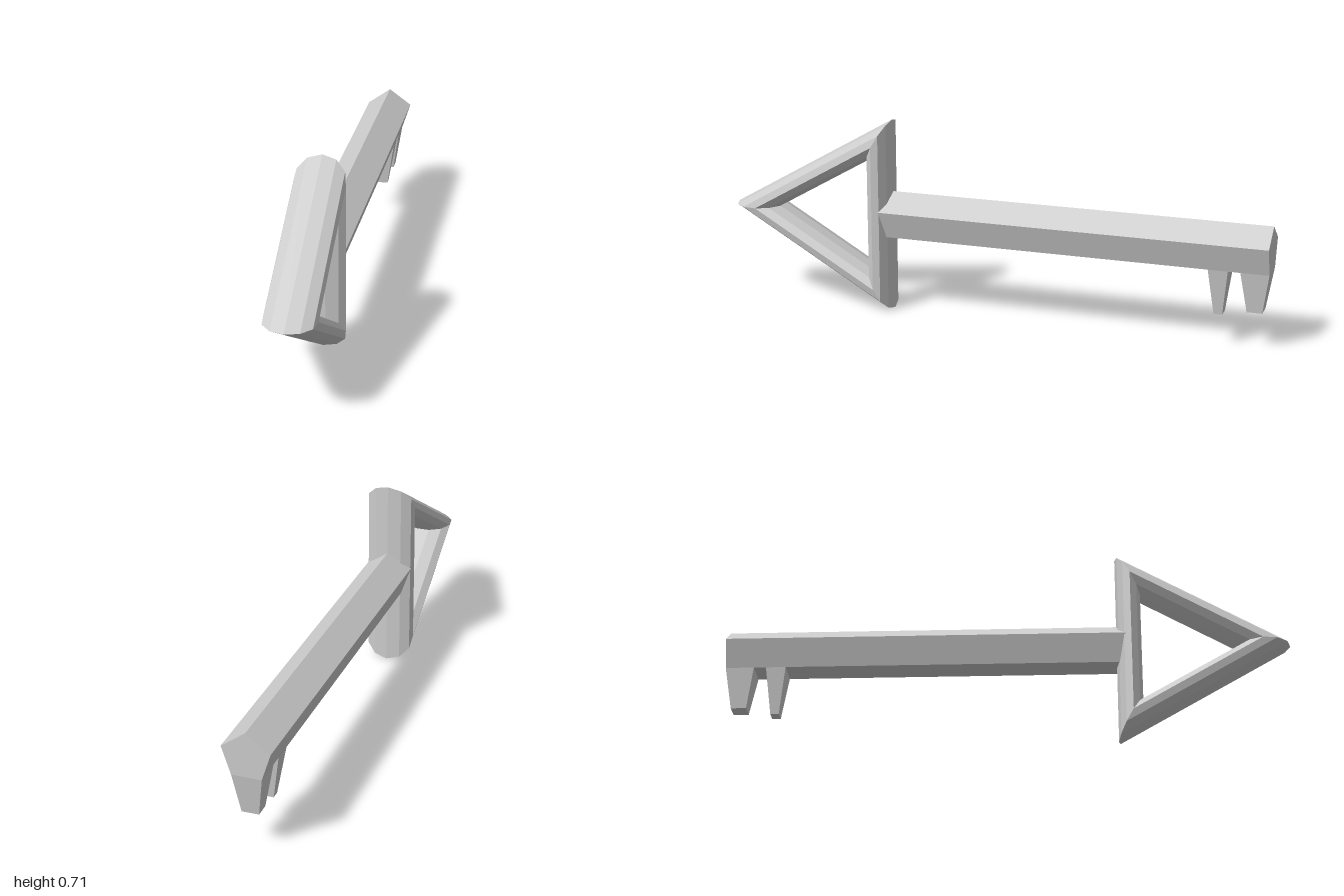
import * as THREE from 'three';

const AXIS_Y = 0.356; // height of the key's long axis

export function createModel() {
  const group = new THREE.Group();
  group.name = 'key';
  const material = new THREE.MeshStandardMaterial({ color: 0xcccccc, flatShading: true });

  const add = (name, geometry, x, y, z) => {
    const mesh = new THREE.Mesh(geometry, material);
    mesh.name = name;
    mesh.position.set(x, y, z);
    group.add(mesh);
  };

  // Triangular bow: a three-segment ring with one corner pointing forward
  const bow = new THREE.TorusGeometry(0.32, 0.09, 11, 3);
  bow.rotateY(-Math.PI / 2);
  add('bow', bow, 0, AXIS_Y, 0.59);

  // Five-sided shaft with a ridge on top, ending inside the bow
  const back = -1, front = 0.43, radius = 0.0885;
  const shaft = new THREE.CylinderGeometry(radius, radius, front - back, 5);
  shaft.rotateX(-Math.PI / 2);
  add('shaft', shaft, 0, AXIS_Y, (front + back) / 2);

  // Tapered teeth growing out of the flat underside of the shaft
  const top = AXIS_Y - radius * Math.cos(Math.PI / 5);
  const topWidth = 2 * radius * Math.sin(Math.PI / 5);
  const addTooth = (name, z, topDepth, bottomWidth, bottomDepth, bottom) => {
    const h = top - bottom;
    const tooth = new THREE.BoxGeometry(topWidth, h, topDepth);
    const p = tooth.attributes.position;
    for (let i = 0; i < p.count; i++) {
      if (p.getY(i) < 0) {
        p.setX(i, Math.sign(p.getX(i)) * bottomWidth / 2);
        p.setZ(i, Math.sign(p.getZ(i)) * bottomDepth / 2);
      }
    }
    tooth.computeVertexNormals();
    add(name, tooth, 0, top - h / 2, z);
  };
  addTooth('innerTooth', -0.822, 0.07, 0.048, 0.03, 0.117);
  addTooth('endTooth', -0.95, 0.1, 0.06, 0.054, 0.138);

  return group;
}
